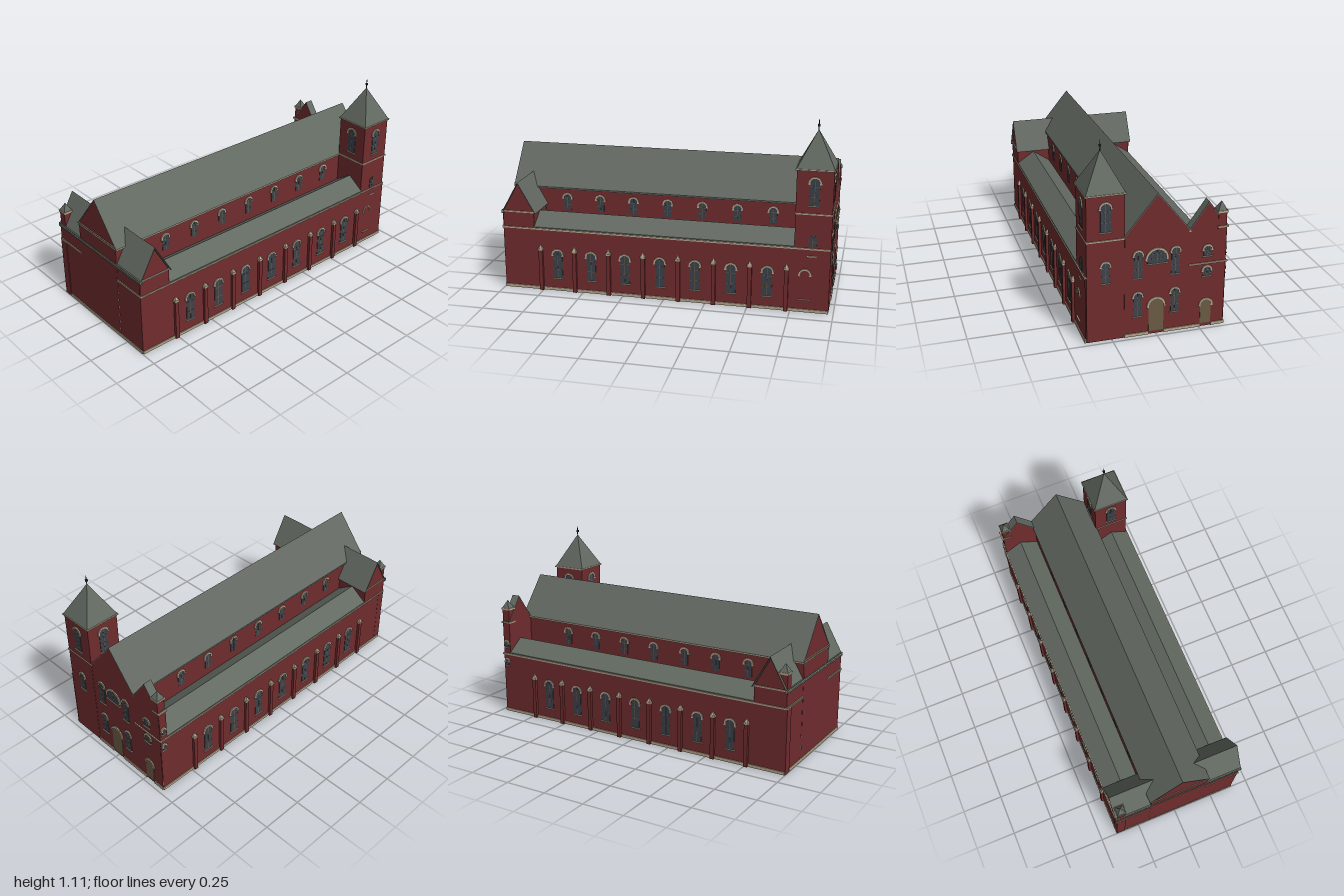
import * as THREE from 'three';

const mat = (name, color, side = THREE.FrontSide) => {
  const m = new THREE.MeshStandardMaterial({ color, side });
  m.name = name;
  return m;
};

export function createModel() {
  const root = new THREE.Group();
  root.name = 'church';
  const brick = mat('red brick', 0x702c2e, THREE.DoubleSide);
  const slate = mat('slate roof', 0x626961, THREE.DoubleSide);
  const stone = mat('pale stone', 0xb3a48c);
  const glass = mat('dark glass', 0x3c424b);
  const wood = mat('wooden door', 0x6a5a44);
  const bar = mat('window bars', 0x6e5f45);
  const iron = mat('iron', 0x24262a);

  const add = (name, geo, material, x = 0, y = 0, z = 0, parent = root) => {
    const m = new THREE.Mesh(geo, material);
    m.name = name;
    m.position.set(x, y, z);
    parent.add(m);
    return m;
  };
  // Box given by its limits on each axis
  const box = (name, material, x0, x1, y0, y1, z0, z1, parent = root) =>
    add(name, new THREE.BoxGeometry(x1 - x0, y1 - y0, z1 - z0), material,
      (x0 + x1) / 2, (y0 + y1) / 2, (z0 + z1) / 2, parent);
  const poly = (pts) => new THREE.Shape(pts.map(([a, b]) => new THREE.Vector2(a, b)));
  // Thin walls: one in a constant x plane, one in a constant z plane
  const sideWall = (name, x, y0, y1, z0, z1) => {
    const m = add(name, new THREE.PlaneGeometry(z1 - z0, y1 - y0), brick, x, (y0 + y1) / 2, (z0 + z1) / 2);
    m.rotation.y = x > 0 ? Math.PI / 2 : -Math.PI / 2;
  };
  const endWall = (name, pts, z) => {
    const m = add(name, new THREE.ShapeGeometry(poly(pts)), brick, 0, 0, z);
    if (z < 0) m.geometry.scale(-1, 1, 1).rotateY(Math.PI);
  };
  // Gabled roof of two thin slabs running along z
  const gableRoof = (name, half, eave, apex, len, t = 0.008) => {
    const g = new THREE.ExtrudeGeometry(poly([[-half, eave], [-half, eave - t], [0, apex - t], [half, eave - t], [half, eave], [0, apex]]),
      { depth: len, bevelEnabled: false });
    g.translate(0, 0, -len / 2);
    return add(name, g, slate);
  };
  const pyramid = (name, half, h, material, x, y, z) => {
    const g = new THREE.ConeGeometry(half * Math.SQRT2, h, 4, 1).toNonIndexed();
    g.rotateY(Math.PI / 4).computeVertexNormals();
    return add(name, g, material, x, y + h / 2, z);
  };
  const archShape = (w, h) => {
    const r = w / 2, s = new THREE.Shape();
    s.moveTo(-r, 0);
    s.lineTo(r, 0);
    s.lineTo(r, h - r);
    s.absarc(0, h - r, r, 0, Math.PI, false);
    return s;
  };
  const slab = (shape, d) => new THREE.ExtrudeGeometry(shape, { depth: d, bevelEnabled: false, curveSegments: 10 }).translate(0, 0, -d / 2);
  // Arched opening: pane, stone hood, sill and bars
  const opening = (name, x, y, z, turn, w, h, { pane = glass, bars = true, sill = true, hood = 0.009 } = {}) => {
    const g = new THREE.Group();
    g.name = name;
    g.position.set(x, y, z);
    g.rotation.y = turn;
    root.add(g);
    const r = w / 2, sy = h - r;
    if (pane) add('pane', slab(archShape(w, h), 0.006), pane, 0, 0, 0, g);
    if (hood) {
      const s = new THREE.Shape();
      s.absarc(0, 0, r + hood, 0, Math.PI, false);
      s.absarc(0, 0, r, Math.PI, 0, true);
      add('hood', slab(s, 0.012), stone, 0, sy, 0, g);
      for (const k of [-1, 1]) box('hoodFoot', stone, k * (r + hood / 2) - 0.006, k * (r + hood / 2) + 0.006, sy - 0.009, sy, -0.006, 0.006, g);
    }
    if (sill) box('sill', stone, -r - 0.006, r + 0.006, -0.006, 0, -0.008, 0.008, g);
    if (pane && bars) {
      box('verticalBar', bar, -0.0012, 0.0012, 0, h, -0.004, 0.004, g);
      for (const t of [0.33, 0.7]) box('crossBar', bar, -r, r, h * t - 0.0012, h * t + 0.0012, -0.004, 0.004, g);
    }
  };

  const F = 0.995, B = -0.97, bays = [0.655, 0.445, 0.235, 0.022, -0.19, -0.403, -0.615];

  // Nave
  for (const s of [-1, 1]) {
    sideWall('naveWall', s * 0.18, 0, 0.595, B, F);
    box('naveCornice', stone, s * 0.184 - 0.006, s * 0.184 + 0.006, 0.582, 0.592, B, F);
    box('naveBase', stone, s * 0.18 - 0.005, s * 0.18 + 0.005, 0, 0.018, B, F);
  }
  const nave = [[-0.18, 0], [0.18, 0], [0.18, 0.6], [0, 0.822], [-0.18, 0.6]];
  endWall('naveFront', nave, F + 0.001);
  endWall('naveBack', nave, B);
  gableRoof('naveRoof', 0.19, 0.592, 0.826, 1.968).position.z = 0.0135;
  box('frontCornice', stone, -0.185, 0.185, 0.585, 0.592, F, F + 0.005);
  box('frontCorniceTop', stone, -0.185, 0.185, 0.598, 0.604, F, F + 0.005);

  // Aisles with buttresses and windows
  for (const s of [-1, 1]) {
    const turn = s * Math.PI / 2, x0 = s * 0.395, end = s > 0 ? -0.765 : -0.92;
    sideWall('aisleWall', x0, 0, 0.397, B, F);
    endWall('aisleFront', [[s * 0.18, 0], [x0, 0], [x0, 0.48], [s * 0.18, 0.48]], F);
    const roof = gableRoof('aisleRoof', 0.108, 0.398, 0.472, 0.8 - end);
    roof.position.set(s * 0.288, 0, (0.8 + end) / 2);
    box('aisleCornice', stone, x0 - 0.006, x0 + 0.006, 0.382, 0.391, B, F + 0.003);
    box('aisleBase', stone, x0 - 0.005, x0 + 0.005, 0, 0.018, B, F);
    const a = Math.min(s * 0.18, s * 0.4), b = Math.max(s * 0.18, s * 0.4);
    box('frontBand', stone, a, b, 0.381, 0.387, F - 0.004, F + 0.004);
    box('frontBand', stone, a, b, 0.391, 0.396, F - 0.004, F + 0.004);
    for (const z of bays) {
      opening('aisleWindow', x0, 0.08, z, turn, 0.056, 0.178);
      opening('clerestoryWindow', s * 0.18, 0.45, z, turn, 0.046, 0.1, { sill: false });
    }
    for (let i = 0; i < 8; i++) {
      const z = 0.76 - i * 0.2122;
      box('buttress', brick, x0 - 0.004, x0 + 0.016, 0, 0.255, z - 0.012, z + 0.012).position.x = s * 0.401;
      box('buttressCap', stone, s * 0.401 - 0.013, s * 0.401 + 0.013, 0.255, 0.266, z - 0.016, z + 0.016);
      pyramid('buttressTip', 0.012, 0.022, stone, s * 0.399, 0.266, z);
    }

    // Transept gable
    const gable = new THREE.ShapeGeometry(poly([[-0.097, 0.39], [0.097, 0.39], [0.097, 0.488], [0, 0.663], [-0.097, 0.488]]));
    add('transeptGable', gable, brick, s * 0.396, 0, 0.895).rotation.y = turn;
    add('transeptBack', new THREE.PlaneGeometry(0.215, 0.1), brick, s * 0.288, 0.44, 0.798).rotation.y = Math.PI;
    box('transeptCornice', stone, s * 0.397 - 0.005, s * 0.397 + 0.005, 0.484, 0.492, 0.793, 0.998);
  }
  gableRoof('transeptRoof', 0.104, 0.486, 0.67, 0.81).rotation.y = Math.PI / 2;
  root.children[root.children.length - 1].position.z = 0.891;
  box('frontGutter', slate, -0.406, 0.406, 0.474, 0.484, 0.985, 1);
  box('frontCorniceBand', stone, -0.406, 0.406, 0.485, 0.489, 0.985, 0.999);
  box('frontGutterLip', slate, -0.406, 0.406, 0.489, 0.495, 0.985, 0.998);
  box('frontBase', stone, -0.34, 0.395, 0, 0.018, F - 0.004, F + 0.004);

  // Corner turrets
  const turret = (z, base, top) => {
    box('turret', brick, -0.39, -0.342, base, top, z - 0.025, z + 0.025);
    box('turretCap', stone, -0.395, -0.337, top, top + 0.012, z - 0.03, z + 0.03);
    pyramid('turretRoof', 0.026, 0.048, slate, -0.366, top + 0.012, z);
  };
  turret(0.967, 0.4, 0.575);
  box('cornerPier', brick, -0.396, -0.342, 0, 0.38, 0.95, 0.999);
  turret(-0.947, 0.55, 0.673);

  // Small gabled bay beside the back front
  const bay = [[-0.393, 0], [-0.18, 0], [-0.18, 0.59], [-0.287, 0.742], [-0.393, 0.59]];
  endWall('bayBack', bay, B);
  add('bayInner', new THREE.ShapeGeometry(poly(bay)), brick, 0, 0, -0.92);
  sideWall('baySide', -0.394, 0.39, 0.6, B, -0.92);
  gableRoof('bayRoof', 0.108, 0.594, 0.747, 0.052).position.set(-0.287, 0, -0.945);
  box('bayCornice', stone, -0.402, -0.34, 0.588, 0.597, -0.977, -0.915);
  box('bayBand', stone, -0.402, -0.18, 0.382, 0.391, -0.976, -0.966);
  opening('bayDoor', -0.287, 0.02, B, Math.PI, 0.062, 0.145, { pane: wood, bars: false, sill: false });
  opening('bayLowerWindow', -0.287, 0.31, B, Math.PI, 0.045, 0.055);
  opening('bayUpperWindow', -0.287, 0.43, B, Math.PI, 0.045, 0.06);
  for (const y of [0.31, 0.43]) opening('baySideWindow', -0.395, y, -0.945, -Math.PI / 2, 0.022, 0.04, { bars: false });

  // Back front: door, lunette, windows and step
  opening('mainDoor', 0, 0.018, B, Math.PI, 0.085, 0.195, { pane: wood, bars: false, sill: false, hood: 0.011 });
  opening('lunette', 0, 0.425, B, Math.PI, 0.11, 0.08, { hood: 0.011 });
  for (const x of [-0.105, 0.105]) {
    opening('backLowerWindow', x, 0.12, B, Math.PI, 0.046, 0.14);
    opening('backUpperWindow', x, 0.35, B, Math.PI, 0.046, 0.155);
  }
  for (const [a, b] of [[-0.395, -0.32], [-0.255, -0.045], [0.045, 0.18]]) box('backBase', stone, a, b, 0, 0.018, B - 0.005, B + 0.005);
  const step = new THREE.ExtrudeGeometry(poly([[0, 0], [0.03, 0], [0.03, 0.006], [0, 0.018]]), { depth: 0.09, bevelEnabled: false });
  add('doorStep', step, stone, -0.045, 0, B).rotation.y = Math.PI / 2;
  root.children[root.children.length - 1].geometry.scale(-1, 1, 1);
  step.setIndex([...Array(step.attributes.position.count).keys()].reverse());
  step.computeVertexNormals();

  // Tower
  const tx = 0.285, tz = -0.867, th = 0.104;
  for (let i = 0; i < 4; i++) {
    const turn = i * Math.PI / 2, dx = Math.sin(turn), dz = Math.cos(turn);
    const wall = add('towerWall', new THREE.PlaneGeometry(th * 2, 0.845), brick, tx + dx * th, 0.4225, tz + dz * th);
    wall.rotation.y = turn;
    opening('belfryWindow', tx + dx * th, 0.64, tz + dz * th, turn, 0.056, 0.16);
  }
  box('towerBand', stone, tx - th - 0.005, tx + th + 0.005, 0.587, 0.595, tz - th - 0.005, tz + th + 0.005);
  box('towerCornice', stone, tx - th - 0.008, tx + th + 0.008, 0.842, 0.85, tz - th - 0.008, tz + th + 0.008);
  pyramid('towerRoof', 0.108, 0.207, slate, tx, 0.85, tz);
  add('finialRod', new THREE.CylinderGeometry(0.002, 0.003, 0.065, 6), iron, tx, 1.078, tz);
  add('finialBall', new THREE.BoxGeometry(0.012, 0.012, 0.012), iron, tx, 1.08, tz);
  opening('towerBackWindow', tx, 0.345, B - 0.001, Math.PI, 0.045, 0.12);
  opening('towerSideWindow', tx + th, 0.345, tz, Math.PI / 2, 0.045, 0.12, { hood: 0 });
  box('towerSideSill', stone, 0.39, 0.4, 0.339, 0.345, tz - 0.025, tz + 0.025);
  opening('blindWindow', 0.395, 0.078, -0.83, Math.PI / 2, 0.054, 0.178, { pane: null });
  return root;
}
